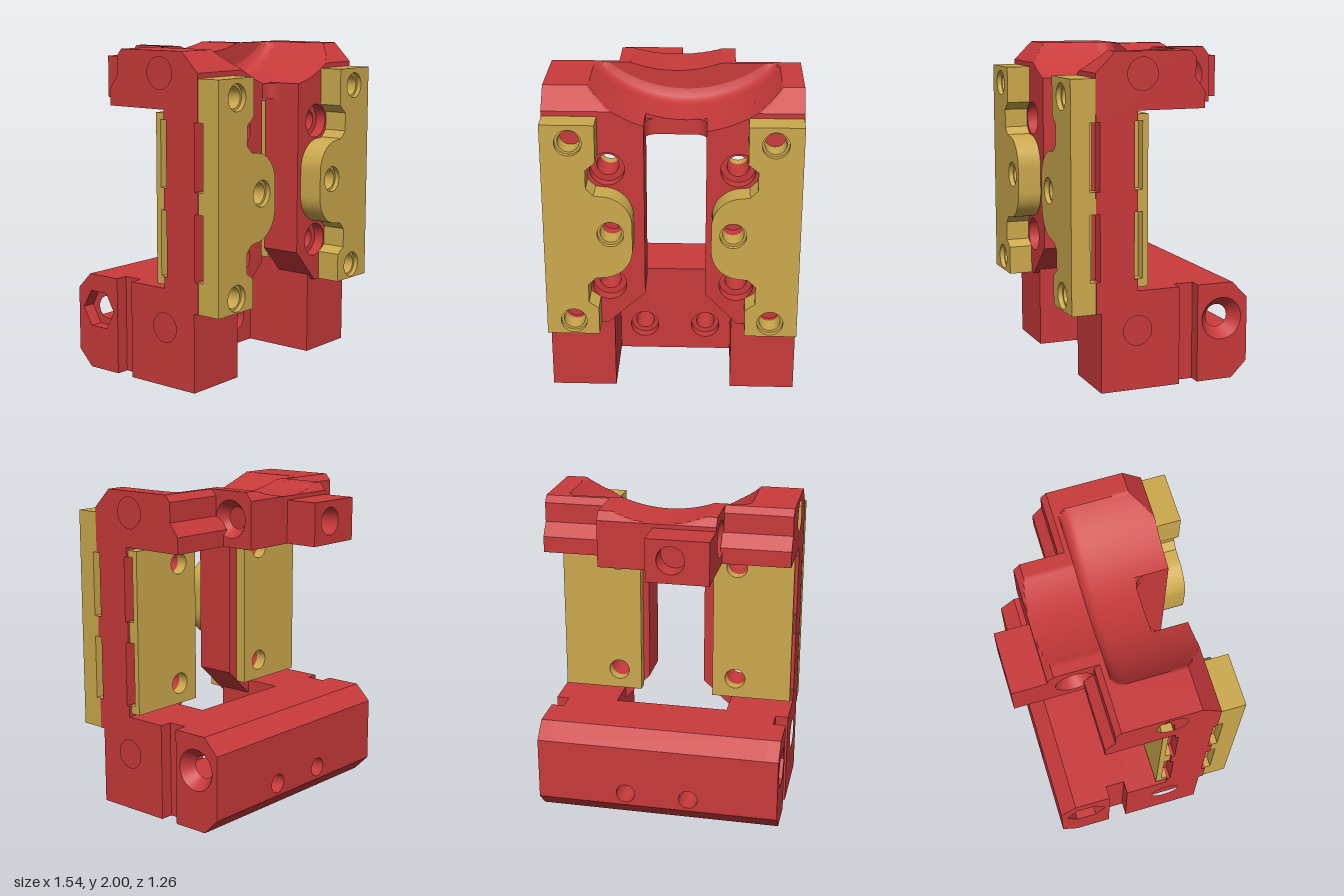
import * as THREE from 'three';
import { toCreasedNormals } from 'three/addons/utils/BufferGeometryUtils.js';

const RED = new THREE.MeshStandardMaterial({ color: 0xc93a3b });
const TAN = new THREE.MeshStandardMaterial({ color: 0xcca94d });
const RED_OPEN = new THREE.MeshStandardMaterial({ color: 0xc93a3b, side: THREE.DoubleSide });

export function createModel() {
  const model = new THREE.Group();

  function add(name, geo, mat = RED) {
    const mesh = new THREE.Mesh(toCreasedNormals(geo, 0.6), mat);
    mesh.name = name;
    model.add(mesh);
    return mesh;
  }

  function box(name, x0, x1, y0, y1, z0, z1, mat) {
    const g = new THREE.BoxGeometry(Math.abs(x1 - x0), y1 - y0, z1 - z0);
    return add(name, g.translate((x0 + x1) / 2, (y0 + y1) / 2, (z0 + z1) / 2), mat);
  }

  // Extrude an outline from a to b along an axis. Outline pairs are
  // (x,y) for axis z, (z,y) for axis x, (x,z) for axis y; holes are [u, v, radius, sides].
  function prism(name, axis, pts, holes, a, b, mat) {
    const map = (u, v) => new THREE.Vector2(axis === 'x' ? -u : u, axis === 'y' ? -v : v);
    const shape = new THREE.Shape(pts.map(p => map(p[0], p[1])));
    for (const [u, v, r, n = 32] of holes) {
      const ring = [];
      for (let i = 0; i < n; i++) {
        const t = (i / n) * Math.PI * 2;
        ring.push(map(u + r * Math.cos(t), v + r * Math.sin(t)));
      }
      shape.holes.push(new THREE.Path(ring));
    }
    const g = new THREE.ExtrudeGeometry(shape, { depth: Math.abs(b - a), bevelEnabled: false });
    g.translate(0, 0, Math.min(a, b));
    if (axis === 'x') g.rotateY(Math.PI / 2);
    if (axis === 'y') g.rotateX(-Math.PI / 2);
    return add(name, g, mat);
  }

  // Box whose top follows a height rule
  function sculpted(name, x0, x1, y0, z0, z1, height, nx, nz) {
    const g = new THREE.BoxGeometry(x1 - x0, 1, z1 - z0, nx, 1, nz);
    g.translate((x0 + x1) / 2, 0, (z0 + z1) / 2);
    const p = g.attributes.position;
    for (let i = 0; i < p.count; i++) {
      p.setY(i, p.getY(i) > 0 ? height(p.getX(i), p.getZ(i)) : y0);
    }
    return add(name, g);
  }

  // Conical seat inside a hole that runs along x
  function seat(name, x, y, z, rOut, rIn, depth, s) {
    const g = new THREE.CylinderGeometry(rOut, rIn, depth, 32, 1, true);
    g.rotateZ(-s * Math.PI / 2).translate(x - s * depth / 2, y, z);
    add(name, g, RED_OPEN);
  }

  const rect = (u0, u1, v0, v1) => [[u0, v0], [u1, v0], [u1, v1], [u0, v1]];

  // Saddle heights: wide scoop in front, shallow scoop behind
  const wide = x => {
    const d = 0.786 ** 2 - (x - 0.07) ** 2;
    return d > 0 ? 2.54 - Math.sqrt(d) : 2;
  };
  const shallow = x => Math.min(2, 2.76 - Math.sqrt(0.81 ** 2 - Math.min(x * x, 0.6)));
  const front = (x, z) => {
    const d = Math.min(0.08, Math.max(0, -z));
    const fillet = 0.08 - Math.sqrt(Math.max(0, 0.0064 - d * d));
    const lid = z > 0.36 ? 2.36 - z : 2;
    return Math.min(lid, Math.max(wide(x) + fillet, 0), z < 0 ? Math.max(shallow(x), wide(x)) : 2);
  };

  const CORE = 0.69, SIDE = 0.77;

  // Upper bridge with the saddle
  sculpted('saddle', -CORE, CORE, 1.66, -0.08, 0.26, front, 110, 20);
  sculpted('saddleBackEdge', -CORE, CORE, 1.66, -0.11, -0.08, shallow, 90, 1);
  sculpted('saddleFrontRight', -CORE, -0.17, 1.66, 0.26, 0.48, front, 48, 22);
  sculpted('saddleFrontLeft', 0.2, CORE, 1.66, 0.26, 0.48, front, 48, 22);

  // Rear centre block with a cross bolt hole, saddle neck on top
  const bolt = [-0.26, 1.83, 0.065], blockSide = rect(-0.42, -0.11, 1.66, 1.95);
  prism('centerBlock', 'x', blockSide, [bolt], -0.28, 0.3);
  for (const [x, s] of [[-0.35, -1], [0.37, 1]]) {
    prism('centerBlockEnd', 'x', blockSide, [[-0.26, 1.83, 0.115]], x, x - s * 0.07);
    seat('boltSeat', x, 1.83, -0.26, 0.115, 0.065, 0.07, s);
  }
  sculpted('saddleNeck', -0.35, 0.37, 1.945, -0.42, -0.11,
    (x, z) => Math.min(shallow(x), z < -0.38 ? 2 + (z + 0.38) * 1.3 : 2), 60, 31);

  // Rear boss with a blind hole
  box('rearBoss', -0.35, 0.03, 1.66, 1.925, -0.5, -0.42);
  prism('rearBossFace', 'z', rect(-0.35, 0.03, 1.66, 1.925), [[-0.12, 1.8, 0.085]], -0.63, -0.5);

  // Lower beam: bolt tunnel in the upper half, two holes through the lower half
  const beamTop = [[-0.02, 0.28], [-0.02, 0.6], [-0.4, 0.6], [-0.5, 0.5], [-0.5, 0.28]];
  prism('lowerBeamTop', 'x', beamTop, [[-0.33, 0.38, 0.07]], -CORE, CORE);
  const screws = r => [[-0.205, 0.18, r], [0.2, 0.18, r]];
  prism('lowerBeamFace', 'z', rect(-CORE, CORE, 0, 0.28), screws(0.092), -0.08, -0.02);
  prism('lowerBeamBase', 'z', rect(-CORE, CORE, 0, 0.28), screws(0.06), -0.4, -0.08);
  prism('lowerBeamBack', 'z', rect(-CORE, CORE, 0.1, 0.28), screws(0.06), -0.5, -0.4);
  prism('lowerBeamChamfer', 'x', [[-0.4, 0], [-0.4, 0.1], [-0.5, 0.1]], [], -CORE, CORE);

  // Side outline of leg, pillar and upper arm, with shallow strap notches
  const sideOutline = [
    [-0.05, 0], [0.45, 0], [0.45, 0.48], [0.48, 0.48],
    [0.48, 0.67], [0.455, 0.67], [0.455, 1.07], [0.48, 1.07],
    [0.48, 1.2], [0.455, 1.2], [0.455, 1.6], [0.48, 1.6],
    [0.48, 1.88], [0.36, 2], [-0.11, 2], [-0.145, 1.96], [-0.145, 1.84],
    [-0.205, 1.76], [-0.205, 1.66], [0.22, 1.66],
    [0.22, 1.6], [0.24, 1.6], [0.24, 1.2], [0.22, 1.2],
    [0.22, 1.07], [0.24, 1.07], [0.24, 0.67], [0.22, 0.67],
    [0.22, 0.6], [-0.05, 0.6],
  ];
  const armRear = [[-0.11, 1.66], [-0.11, 2], [-0.145, 1.96], [-0.145, 1.84], [-0.205, 1.76], [-0.205, 1.66]];
  const beamEnd = [[-0.17, 0], [-0.4, 0], [-0.5, 0.1], [-0.5, 0.5], [-0.4, 0.6], [-0.17, 0.6]];

  for (const s of [1, -1]) {
    const side = s > 0 ? 'left' : 'right';
    const inner = s > 0 ? 0.2 : 0.17;
    const flip = list => list.map(([x, ...rest]) => [s * x, ...rest]);

    // Outer side slab, beam end and rear of the upper arm
    prism(side + 'SidePlate', 'x', sideOutline, [[0.19, 1.87, 0.095], [0.22, 0.36, 0.09]], s * CORE, s * SIDE);
    prism(side + 'BeamEnd', 'x', beamEnd, [[-0.33, 0.38, 0.13, s > 0 ? 32 : 6]], s * CORE, s * SIDE);
    if (s > 0) seat('beamBoltSeat', SIDE, 0.38, -0.33, 0.13, 0.07, 0.08, s);
    prism(side + 'ArmRear', 'x', armRear, [], s * 0.34, s * CORE);

    // Leg with a blind hole underneath
    box(side + 'Leg', s * 0.365, s * CORE, 0.1, 0.6, -0.02, 0.45);
    prism(side + 'LegFoot', 'y', flip(rect(0.365, CORE, -0.02, 0.45)), flip([[0.57, 0.2, 0.09]]), 0, 0.1);

    // Pillar with through holes, counterbored in front
    const pillar = flip([[CORE, 0.48], [0.4, 0.48], [inner, 0.69], [inner, 1.66], [CORE, 1.66]]);
    const through = r => [[0.39, 1.52, r], [0.39, 0.75, r]];
    const plateScrews = r => [[0.6, 0.57, r], [0.365, 1.16, r]];
    prism(side + 'Pillar', 'z', pillar, flip(through(0.067)), 0.22, 0.41);
    prism(side + 'PillarFace', 'z', pillar, flip([...through(0.105), ...plateScrews(0.065)]), 0.41, 0.48);

    // Rounded inner corner of the bridge notch
    const corner = [[inner, 0.26]];
    for (let i = 0; i <= 8; i++) {
      const t = (i / 8) * Math.PI / 2;
      corner.push([inner - 0.07 + 0.07 * Math.sin(t), 0.33 - 0.07 * Math.cos(t)]);
    }
    prism(side + 'NotchFillet', 'y', flip(corner), [], 1.66, 1.76);

    // Front clamp plate: strip with a rounded inner lobe
    const lobe = [];
    for (let i = 0; i <= 12; i++) {
      const t = (i / 12) * Math.PI / 2;
      lobe.push([0.42 - 0.185 * Math.sin(t), 1.055 - 0.185 * Math.cos(t)]);
    }
    for (let i = 0; i <= 12; i++) {
      const t = (i / 12) * Math.PI / 2;
      lobe.push([0.42 - 0.185 * Math.cos(t), 1.22 + 0.185 * Math.sin(t)]);
    }
    const innerEdge = [
      [0.765, 0.48], [0.445, 0.48], [0.445, 0.66], [0.505, 0.7], [0.505, 0.82], [0.46, 0.865],
      ...lobe, [0.46, 1.41], [0.505, 1.455], [0.505, 1.57], [0.445, 1.62], [0.445, 1.85], [0.765, 1.85],
    ];
    const notches = [[0.765, 1.6], [0.7, 1.6], [0.7, 1.2], [0.765, 1.2],
      [0.765, 1.07], [0.7, 1.07], [0.7, 0.67], [0.765, 0.67]];
    const holes = r => flip([[0.6, 1.74, r], ...plateScrews(r)]);
    prism(side + 'FrontPlateBase', 'z', flip([...innerEdge, ...notches]), holes(0.065), 0.48, 0.515, TAN);
    prism(side + 'FrontPlate', 'z', flip(innerEdge), holes(0.065), 0.515, 0.6, TAN);
    prism(side + 'FrontPlateFace', 'z', flip(innerEdge), holes(0.08), 0.6, 0.63, TAN);

    // Rear backing plate, notched at its outer edge
    const rear = rect(0.24, 0.755, 0.62, 1.64);
    const rearNotched = [[0.24, 0.62], [0.755, 0.62], ...[...notches].reverse().map(([x, y]) => [x - 0.01, y]),
      [0.755, 1.64], [0.24, 1.64]];
    prism(side + 'RearPlate', 'z', flip(rear), flip(through(0.067)), 0.15, 0.185, TAN);
    prism(side + 'RearPlateBase', 'z', flip(rearNotched), flip(through(0.067)), 0.185, 0.22, TAN);
  }

  return model;
}
